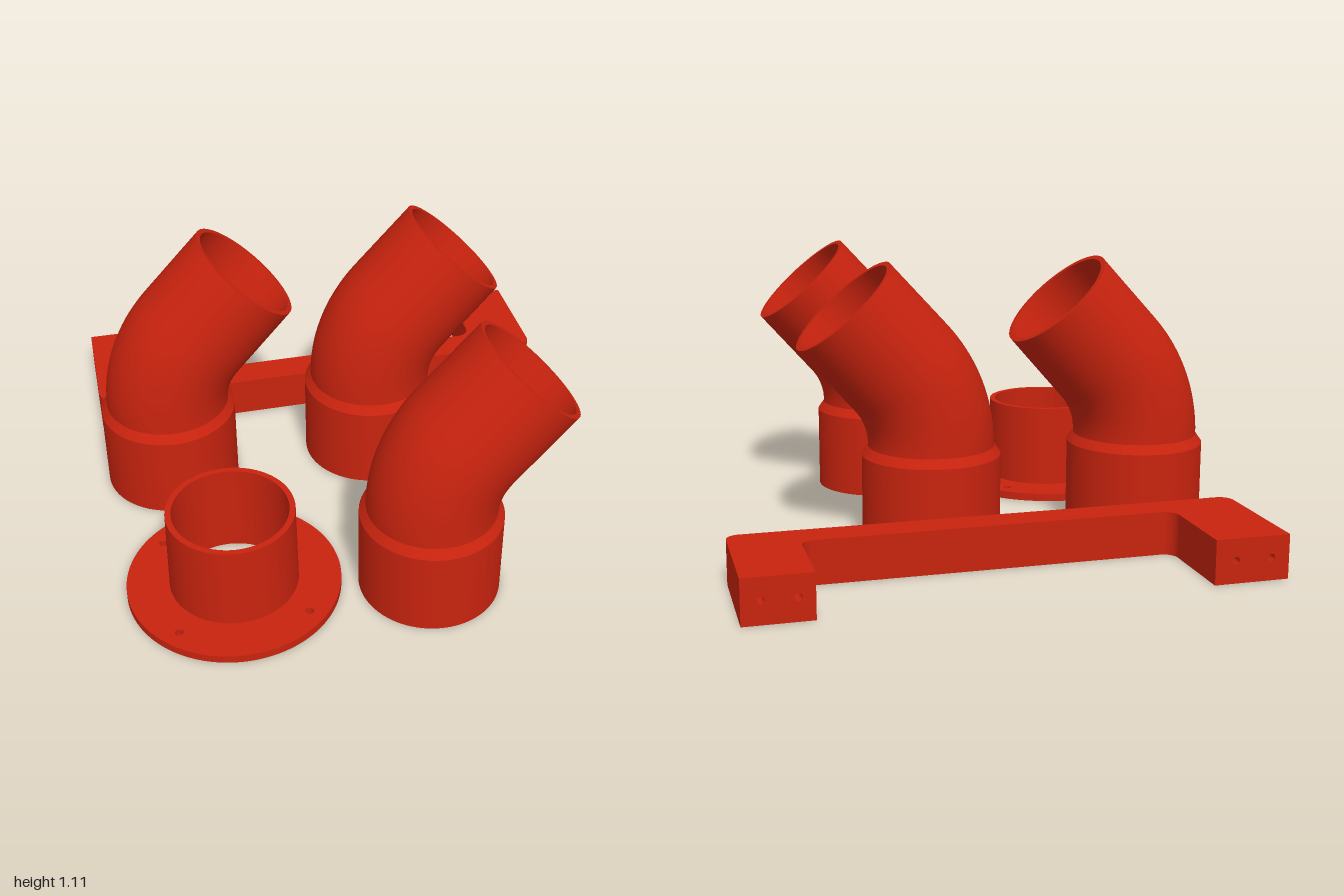
import * as THREE from 'three';
import { toCreasedNormals } from 'three/addons/utils/BufferGeometryUtils.js';

const red = new THREE.MeshStandardMaterial({ color: 0xc8230e });
red.name = 'red plastic';

const crease = (g) => toCreasedNormals(g.index ? g.toNonIndexed() : g, 0.5);

function part(name, geometry) {
  const mesh = new THREE.Mesh(crease(geometry), red);
  mesh.name = name;
  return mesh;
}

function hole(x, y, r, n = 24) {
  const path = new THREE.Path();
  path.absarc(x, y, r, 0, Math.PI * 2, true);
  return new THREE.Path(path.getPoints(n));
}

// Apply a rule to every vertex
function moveVertices(geometry, rule) {
  const p = geometry.attributes.position;
  const v = new THREE.Vector3();
  for (let i = 0; i < p.count; i++) {
    rule(v.fromBufferAttribute(p, i));
    p.setXYZ(i, v.x, v.y, v.z);
  }
  return geometry;
}

// Hollow straight pipe with a socket, turned on a lathe and then bent towards +x
function elbowGeometry() {
  const start = 0.38, R = 0.468, angle = THREE.MathUtils.degToRad(42);
  const arc = R * angle, straight = 0.336, end = start + arc + straight;
  const steps = 18;
  const outer = [[0.275, 0], [0.275, 0.345]];
  const inner = [];
  for (let i = 0; i <= steps; i++) {
    const s = start + arc * i / steps;
    outer.push([0.25 - 0.0075 * (s - start) / (end - start), s]);
    inner.unshift([0.224, s]);
  }
  const profile = [...outer, [0.2425, end], [0.222, end], ...inner,
    [0.224, 0.365], [0.254, 0.335], [0.254, 0], [0.275, 0]];
  const g = new THREE.LatheGeometry(profile.map(([x, y]) => new THREE.Vector2(x, y)), 72);
  return moveVertices(g, (v) => {
    const d = v.y - start;
    if (d <= 0) return;
    const a = Math.min(d / R, angle), rest = Math.max(d - arc, 0), x = v.x;
    v.x = R - (R - x) * Math.cos(a) + rest * Math.sin(a);
    v.y = start + (R - x) * Math.sin(a) + rest * Math.cos(a);
  });
}

// Round plate with four screw holes and a pipe stub
function createFlange() {
  const flange = new THREE.Group();
  flange.name = 'flange';
  const disc = new THREE.Shape();
  disc.absarc(0, 0, 0.415, 0, Math.PI * 2, false);
  const shape = new THREE.Shape(disc.getPoints(96));
  shape.holes.push(hole(0, 0, 0.222, 72));
  for (const x of [-0.247, 0.247]) {
    for (const y of [-0.247, 0.247]) shape.holes.push(hole(x, y, 0.016));
  }
  const plate = new THREE.ExtrudeGeometry(shape, { depth: 0.032, bevelEnabled: false });
  plate.rotateX(-Math.PI / 2);
  flange.add(part('flangePlate', plate));
  const profile = [[0.25, 0.032], [0.245, 0.375], [0.222, 0.375], [0.222, 0.032]];
  flange.add(part('flangeStub',
    new THREE.LatheGeometry(profile.map(([x, y]) => new THREE.Vector2(x, y)), 72)));
  return flange;
}

const HEIGHT = 0.17, FRONT = -0.49, ROUND = 0.05;

// Bracket arm drilled along z, with its outer front edge rounded
function armGeometry(x0, x1, back, holes) {
  const outerX = Math.abs(x0) > Math.abs(x1) ? x0 : x1;
  const shape = new THREE.Shape([[x0, 0], [x1, 0], [x1, HEIGHT], [x0, HEIGHT]]
    .map(([x, y]) => new THREE.Vector2(x, y)));
  for (const x of holes) shape.holes.push(hole(x, 0.087, 0.014));
  const steps = 9;
  const g = new THREE.ExtrudeGeometry(shape, { depth: steps, steps, bevelEnabled: false });
  return moveVertices(g, (v) => {
    const i = Math.round(v.z);
    const a = Math.max(i - 1, 0) / (steps - 1) * Math.PI / 2;
    v.z = i === 0 ? back : FRONT - ROUND + ROUND * Math.sin(a);
    if (Math.abs(v.x - outerX) < 1e-4) {
      v.x -= Math.sign(outerX) * ROUND * (1 - Math.cos(a));
    }
    // countersink the screw holes
    for (const x of holes) {
      const dx = v.x - x, dy = v.y - 0.087;
      if (Math.hypot(dx, dy) < 0.016) {
        const k = 1 + 0.65 * Math.sin(a);
        v.x = x + dx * k;
        v.y = 0.087 + dy * k;
      }
    }
  });
}

function createBracket() {
  const bracket = new THREE.Group();
  bracket.name = 'bracket';
  bracket.add(part('rightArm', armGeometry(-0.995, -0.705, -1, [-0.925, -0.785])));
  bracket.add(part('leftArm', armGeometry(0.735, 0.99, -0.968, [0.795, 0.922])));
  // Cross bar with filleted inner corners
  const l = -0.705, r = 0.735, inner = 0.625, f = 0.05;
  const bar = new THREE.Shape();
  bar.moveTo(l, -FRONT);
  bar.lineTo(r, -FRONT);
  bar.lineTo(r, inner + f);
  bar.absarc(r - f, inner + f, f, 0, -Math.PI / 2, true);
  bar.lineTo(l + f, inner);
  bar.absarc(l + f, inner + f, f, -Math.PI / 2, -Math.PI, true);
  bar.closePath();
  const g = new THREE.ExtrudeGeometry(bar, { depth: HEIGHT, bevelEnabled: false, curveSegments: 10 });
  g.rotateX(-Math.PI / 2);
  bracket.add(part('crossBar', g));
  return bracket;
}

export function createModel() {
  const model = new THREE.Group();
  model.name = 'pipeFittings';
  const elbow = elbowGeometry();
  const places = [['backRightElbow', -0.722, -0.163], ['backLeftElbow', 0.138, -0.163],
    ['frontElbow', 0.163, 0.724]];
  for (const [name, x, z] of places) {
    const mesh = part(name, elbow);
    mesh.position.set(x, 0, z);
    model.add(mesh);
  }
  const flange = createFlange();
  flange.position.set(-0.58, 0, 0.583);
  model.add(flange, createBracket());
  return model;
}
